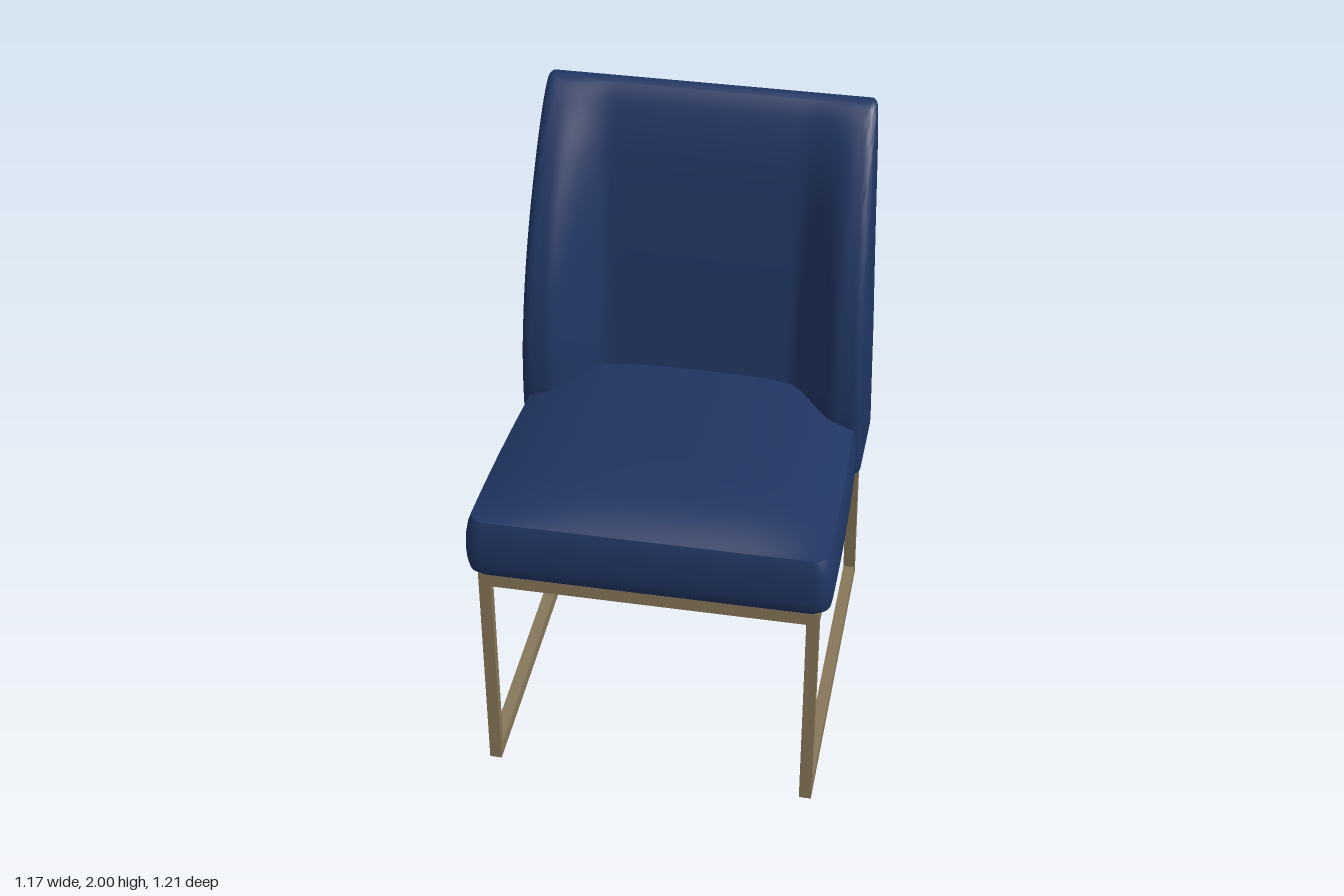
import * as THREE from 'three';
import { toCreasedNormals } from 'three/addons/utils/BufferGeometryUtils.js';

const fabric = new THREE.MeshStandardMaterial({ color: 0x203562 });
fabric.name = 'navy fabric';
const metal = new THREE.MeshStandardMaterial({ color: 0x87775a });
metal.name = 'bronze metal';

// Height of the sloping frame top at a given depth
const frameTop = (z) => 0.81 + (z - 0.58) * 0.055;

// Skin a stack of loops (counter-clockwise from above) and cap both ends with strips
function loft(rings, crease) {
  const n = rings[0].length, pos = [], idx = [];
  rings.forEach((r) => r.forEach((p) => pos.push(...p)));
  for (let j = 0; j < rings.length - 1; j++) {
    for (let i = 0; i < n; i++) {
      const a = j * n + i, b = j * n + (i + 1) % n;
      idx.push(a, b, b + n, a, b + n, a + n);
    }
  }
  const top = (rings.length - 1) * n;
  for (let i = 0; i < n / 2 - 1; i++) {
    const q = [i, i + 1, n - 2 - i, n - 1 - i];
    idx.push(q[0], q[2], q[1], q[0], q[3], q[2]);
    idx.push(top + q[0], top + q[1], top + q[2], top + q[0], top + q[2], top + q[3]);
  }
  const g = new THREE.BufferGeometry();
  g.setAttribute('position', new THREE.Float32BufferAttribute(pos, 3));
  g.setIndex(idx);
  return toCreasedNormals(g, crease);
}

// Seat cushion: rounded, slightly tapered outline with a crowned top
function seatGeometry() {
  const front = 0.605, rear = -0.46, mid = (front + rear) / 2, r = 0.05;
  const outline = (inset) => {
    const hx = 0.586 - inset, hz = (front - rear) / 2 - inset, pts = [];
    const corners = [[-1, 1, Math.PI], [1, 1, 1.5 * Math.PI], [1, -1, 0], [-1, -1, 0.5 * Math.PI]];
    corners.forEach(([sx, sz, a0], c) => {
      for (let k = 0; k <= 6; k++) {
        const a = a0 + (k / 6) * Math.PI / 2;
        pts.push([sx * (hx - r) + r * Math.cos(a), sz * (hz - r) - r * Math.sin(a)]);
      }
      // extra points along each straight edge
      const [nx, nz] = corners[(c + 1) % 4];
      const a1 = a0 + Math.PI / 2;
      const p = [sx * (hx - r) + r * Math.cos(a1), sz * (hz - r) - r * Math.sin(a1)];
      const q = [nx * (hx - r) + r * Math.cos(a1), nz * (hz - r) - r * Math.sin(a1)];
      for (let k = 1; k < 16; k++) pts.push([p[0] + (q[0] - p[0]) * k / 16, p[1] + (q[1] - p[1]) * k / 16]);
    });
    return pts;
  };
  const seam = (z) => 1.02 + (z - 0.52) * 0.07;
  const taper = (z) => 1 - 0.033 * Math.pow(Math.max(0, (0.5 - z) / 0.7), 2);
  const rings = [];
  for (const [inset, h] of [[0.022, 0], [0.008, 0.08], [0.002, 0.25], [0, 0.45], [0.003, 0.7], [0.009, 0.88], [0.018, 1]]) {
    rings.push(outline(inset).map(([x, dz]) => {
      const z = mid + dz, y0 = frameTop(z);
      return [x * taper(z), y0 + (seam(z) - y0) * h, z];
    }));
  }
  const edge = outline(0.018);
  for (const s of [0.985, 0.96, 0.93, 0.89, 0.84, 0.78, 0.7, 0.58, 0.45, 0.3, 0.15, 0.03]) {
    rings.push(edge.map(([ex, ez]) => {
      const x = ex * s, z = mid + ez * s;
      const across = 1 - Math.pow(Math.abs(x) / 0.568, 3.2);
      const along = 1 - Math.pow(Math.max(0, (z - 0.15) / 0.437), 4);
      return [x * taper(z), seam(z) + 0.085 * across * along, z];
    }));
  }
  return loft(rings, 0.6);
}

// Backrest: U-shaped sections whose side wings fade out towards the top
function backGeometry() {
  // height, wing front z, inner panel z, rear z, half width
  const rows = [
    [0.75, -0.195, -0.30, -0.500, 0.568],
    [0.78, -0.182, -0.30, -0.510, 0.580],
    [0.90, -0.174, -0.30, -0.506, 0.579],
    [1.05, -0.166, -0.318, -0.500, 0.576],
    [1.20, -0.177, -0.342, -0.496, 0.573],
    [1.40, -0.217, -0.374, -0.494, 0.567],
    [1.60, -0.288, -0.410, -0.505, 0.560],
    [1.80, -0.385, -0.452, -0.540, 0.551],
    [1.93, -0.470, -0.498, -0.564, 0.544],
    [1.985, -0.522, -0.532, -0.576, 0.538],
    [2.00, -0.552, -0.556, -0.573, 0.527],
  ];
  const spline = (f) => new THREE.CatmullRomCurve3(rows.map(f), false, 'catmullrom', 0.5);
  const fronts = spline((k) => new THREE.Vector3(k[1], k[0], k[2]));
  const rears = spline((k) => new THREE.Vector3(k[3], k[0], k[4]));
  const rings = [], steps = 50, n = 64;
  for (let j = 0; j <= steps; j++) {
    const f = fronts.getPoint(j / steps), b = rears.getPoint(j / steps);
    const y = f.y, hw = b.z;
    const r = Math.min(0.03, (f.x - b.x) / 2.2);
    const round = (ax) => {
      const e = Math.min(1, Math.max(0, (ax - hw + r) / r));
      return r * (1 - Math.sqrt(1 - e * e));
    };
    const low = Math.max(0, 1 - (y - 0.75) / 0.3);
    const point = (x, z) => [x, y + (z + 0.505) * 0.055 * low, z];
    const front = [], rear = [];
    for (let i = 0; i <= n; i++) {
      const x = hw * Math.sin((i / n - 0.5) * Math.PI), ax = Math.abs(x);
      const wing = THREE.MathUtils.smoothstep(ax, 0.31, 0.49);
      front.push(point(x, f.x * wing + f.z * (1 - wing) - round(ax)));
      rear.unshift(point(x, b.x + round(ax)));
    }
    rings.push([...front, ...rear]);
  }
  return loft(rings, 0.7);
}

// Side loop: flat bar bent into a four-sided frame with a raked rear leg
function sideFrameGeometry() {
  const v = (p) => p.map(([z, y]) => new THREE.Vector2(z, y));
  const shape = new THREE.Shape(v([[0.58, 0], [0.58, 0.81], [-0.508, 0.75], [-0.605, 0]]));
  shape.holes.push(new THREE.Path(v([[0.55, 0.05], [-0.568, 0.05], [-0.484, 0.703], [0.55, 0.758]])));
  const g = new THREE.ExtrudeGeometry(shape, { depth: 0.04, bevelEnabled: false });
  return g.rotateY(-Math.PI / 2).translate(0.02, 0, 0);
}

export function createModel() {
  const group = new THREE.Group();
  const add = (name, geometry, material, x = 0, y = 0, z = 0) => {
    const mesh = new THREE.Mesh(geometry, material);
    mesh.name = name;
    mesh.position.set(x, y, z);
    group.add(mesh);
  };
  add('seat', seatGeometry(), fabric);
  add('backrest', backGeometry(), fabric);
  const side = sideFrameGeometry();
  add('leftSideFrame', side, metal, 0.527);
  add('rightSideFrame', side, metal, -0.527);
  // Cross bars joining the two side loops
  const bar = new THREE.BoxGeometry(1.016, 0.047, 0.03);
  add('frontCrossBar', bar, metal, 0, 0.784, 0.565);
  add('rearCrossBar', bar, metal, 0, 0.726, -0.489);
  return group;
}
